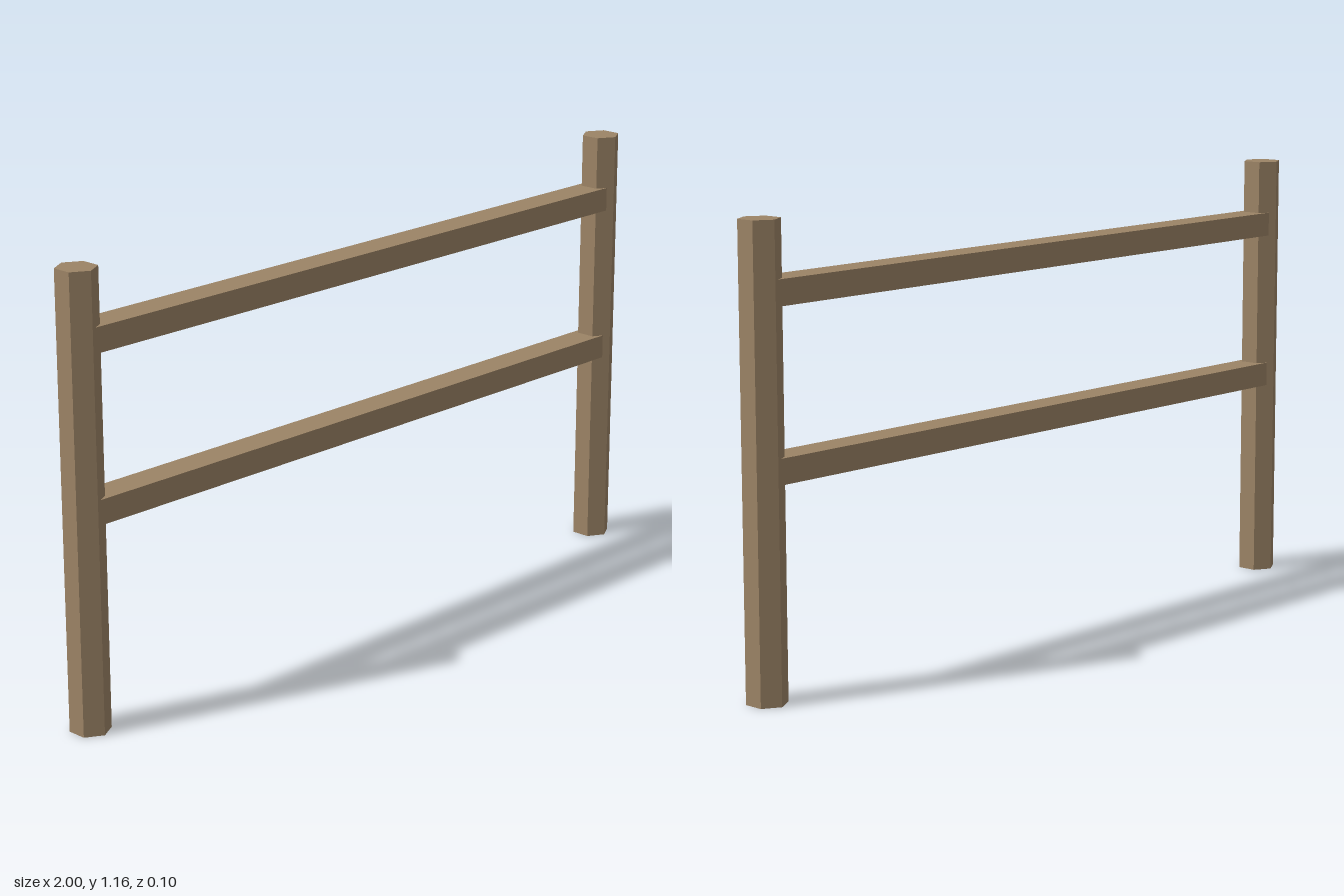
import * as THREE from 'three';

export function createModel() {
  const fence = new THREE.Group();
  fence.name = 'fence';
  const wood = new THREE.MeshStandardMaterial({ color: 0x9c8466, flatShading: true });

  const postX = 0.955;
  const postHeight = 1.165;

  // Hexagonal posts, with corners pointing to the front and back
  const postGeometry = new THREE.CylinderGeometry(0.052, 0.052, postHeight, 6);
  for (const side of [-1, 1]) {
    const post = new THREE.Mesh(postGeometry, wood);
    post.name = side > 0 ? 'leftPost' : 'rightPost';
    post.position.set(side * postX, postHeight / 2, 0);
    fence.add(post);
  }

  // Square-cut rails running between the post centres
  const railGeometry = new THREE.BoxGeometry(postX * 2, 0.064, 0.083);
  for (const [name, y] of [['lowerRail', 0.566], ['upperRail', 0.991]]) {
    const rail = new THREE.Mesh(railGeometry, wood);
    rail.name = name;
    rail.position.y = y;
    fence.add(rail);
  }

  return fence;
}
